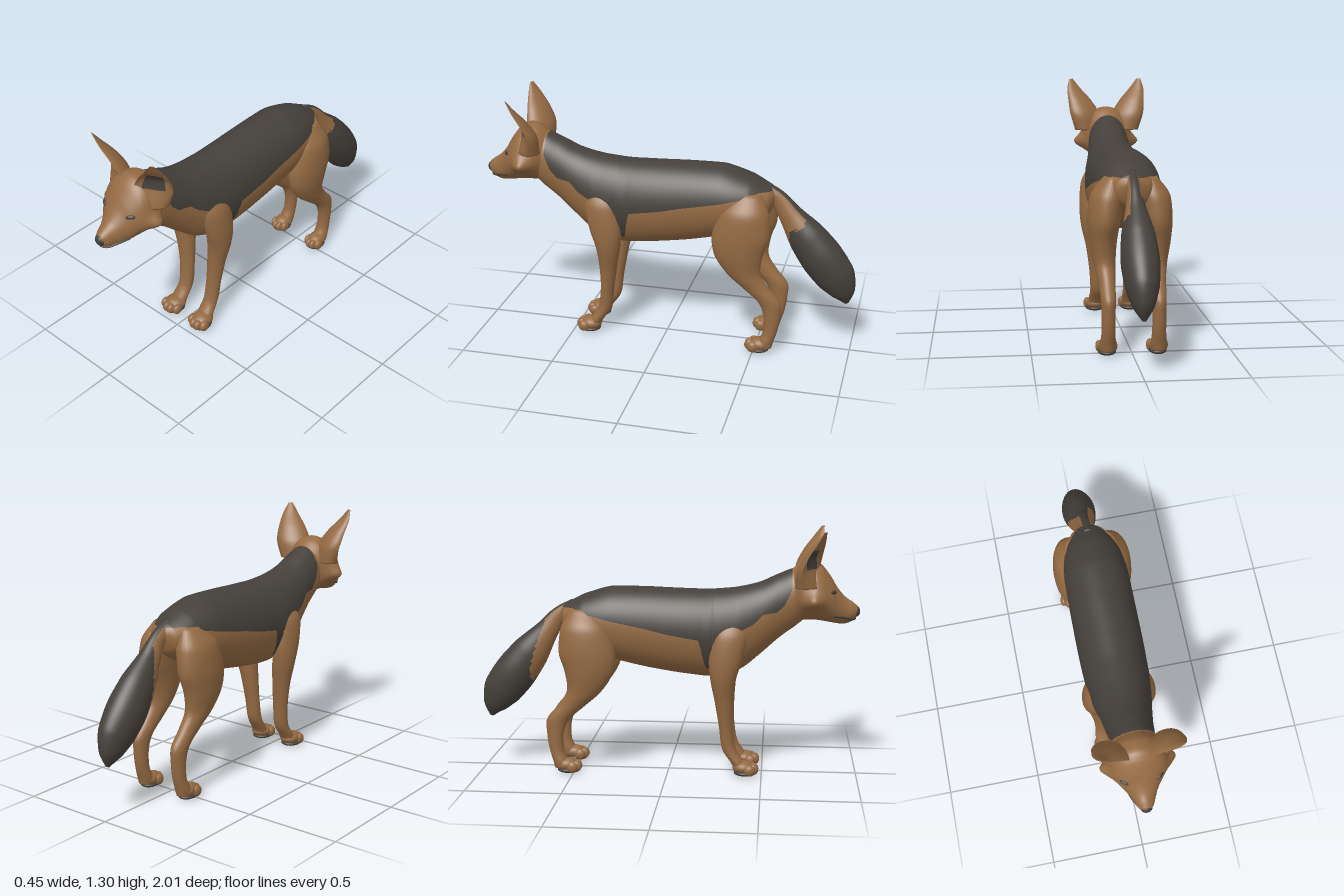
import * as THREE from 'three';

const coat = new THREE.MeshStandardMaterial({ color: 0x946a43 });
coat.name = 'tan coat';
const dark = new THREE.MeshStandardMaterial({ color: 0x45403b });
dark.name = 'dark coat';

const { sin, cos, PI, exp } = Math;
const FORWARD = new THREE.Vector3(0, 0, 1), DOWN = new THREE.Vector3(0, -1, 0);

// Smooth skin through stations [x, y, z, half width, half depth].
// normal: fixed section normal (default: along the path); yaw turns the sections;
// angle(k, p, b): ring angle; shape(t, u): section; bend(p): deform; paint(p, k, u): true = dark.
function loft(name, stations, o = {}) {
  const { steps = 48, ring = 32, normal, yaw = 0, angle = k => k * 2 * PI,
    shape = t => [cos(t), sin(t)], bend, paint = () => false } = o;
  const path = new THREE.CatmullRomCurve3(stations.map(s => new THREE.Vector3(s[0], s[1], s[2])));
  const size = new THREE.CatmullRomCurve3(stations.map(s => new THREE.Vector3(s[3], s[4], 0)));
  const side = new THREE.Vector3(cos(yaw), 0, -sin(yaw));
  const pts = [], tan = [], brown = [];
  for (let i = 0; i <= steps; i++) {
    const u = i / steps, c = path.getPoint(u), r = size.getPoint(u);
    const v = (normal || path.getTangent(u)).clone().cross(side).normalize();
    for (let j = 0; j < ring; j++) {
      const [a, b] = shape(angle(j / ring, c, r.y), u);
      const p = c.clone().addScaledVector(side, a * r.x).addScaledVector(v, b * r.y);
      if (bend) bend(p);
      pts.push(p);
    }
  }
  const face = (a, b, c, k, u) => {
    const mid = pts[a].clone().add(pts[b]).add(pts[c]).divideScalar(3);
    (paint(mid, k, u) ? brown : tan).push(a, b, c);
  };
  const first = pts.push(path.getPoint(0)) - 1, last = pts.push(path.getPoint(1)) - 1;
  for (let j = 0; j < ring; j++) {
    const n = (j + 1) % ring, k = (j + 0.5) / ring, e = steps * ring;
    face(first, n, j, k, 0);
    face(last, e + j, e + n, k, 1);
    for (let i = 0; i < steps; i++) {
      const a = i * ring + j, b = i * ring + n, u = (i + 0.5) / steps;
      face(a, b, a + ring, k, u);
      face(b, b + ring, a + ring, k, u);
    }
  }
  const g = new THREE.BufferGeometry().setFromPoints(pts);
  g.setIndex([...tan, ...brown]);
  g.addGroup(0, tan.length, 0);
  g.addGroup(tan.length, brown.length, 1);
  g.computeVertexNormals();
  const mesh = new THREE.Mesh(g, [coat, dark]);
  mesh.name = name;
  return mesh;
}

// Station from a vertical slice: z, bottom, top, half width
const slice = ([z, lo, hi, w]) => [0, (lo + hi) / 2, z, w, (hi - lo) / 2];

function ball(name, mat, pos, scale) {
  const m = new THREE.Mesh(new THREE.SphereGeometry(1, 20, 14), mat);
  m.name = name;
  m.position.set(...pos);
  m.scale.set(...scale);
  return m;
}

// Lower edge of the dark saddle: z, y
const saddle = [[-0.6, 0.88], [-0.5, 0.885], [-0.43, 0.86], [-0.3, 0.83], [-0.1, 0.79], [0, 0.765],
  [0.17, 0.735], [0.19, 0.64], [0.205, 0.575], [0.235, 0.59], [0.25, 0.73], [0.35, 0.77],
  [0.45, 0.82], [0.5, 0.87], [0.57, 0.88], [0.61, 0.92], [0.66, 1.03]];
function saddleEdge(z) {
  let i = 1;
  while (i < saddle.length - 1 && saddle[i][0] < z) i++;
  const [z0, y0] = saddle[i - 1], [z1, y1] = saddle[i];
  return THREE.MathUtils.mapLinear(THREE.MathUtils.clamp(z, z0, z1), z0, z1, y0, y1);
}

function paw(name, x, z, w) {
  const g = new THREE.Group();
  g.name = name;
  g.add(ball('foot', coat, [x, 0.047, z - 0.005], [w * 0.9, 0.036, 0.058]));
  for (let i = 0; i < 4; i++) {
    const t = (i - 1.5) / 1.5, mid = Math.abs(t) < 0.5;
    g.add(ball('toe', coat, [x + t * w * 0.72, 0.038, z + (mid ? 0.045 : 0.028)], [w * 0.34, 0.03, 0.03]));
  }
  g.add(ball('pad', dark, [x, 0.017, z + 0.005], [w * 0.88, 0.017, 0.06]));
  return g;
}

export function createModel() {
  const model = new THREE.Group();
  model.name = 'wild dog';

  // Torso and neck, with the rings split along the saddle edge
  model.add(loft('body', [
    [-0.58, 0.82, 0.87, 0.025], [-0.55, 0.75, 0.9, 0.085], [-0.45, 0.68, 0.95, 0.145],
    [-0.3, 0.605, 0.993, 0.17], [-0.1, 0.56, 0.992, 0.172], [0.1, 0.53, 0.985, 0.172],
    [0.25, 0.52, 0.985, 0.168], [0.38, 0.56, 1.0, 0.155], [0.48, 0.64, 1.025, 0.135],
    [0.58, 0.73, 1.07, 0.118], [0.66, 0.79, 1.1, 0.11], [0.72, 0.84, 1.08, 0.085]].map(slice), {
    steps: 160, ring: 64, normal: FORWARD,
    angle: (k, p, b) => {
      const e = Math.asin(THREE.MathUtils.clamp((saddleEdge(p.z) - p.y) / b, -0.95, 0.95));
      return k < 0.5 ? e + 2 * k * (PI - 2 * e) : PI - e + (2 * k - 1) * (PI + 2 * e);
    },
    paint: (p, k) => k < 0.5 && p.z < 0.645,
  }));

  // Bushy tail, tan only at the sides of its root
  model.add(loft('tail', [
    [0, 0.89, -0.5, 0.035, 0.035], [0, 0.83, -0.59, 0.035, 0.045], [0, 0.74, -0.66, 0.052, 0.065],
    [0, 0.63, -0.745, 0.082, 0.1], [0, 0.52, -0.83, 0.092, 0.113], [0, 0.42, -0.905, 0.08, 0.105],
    [0, 0.335, -0.95, 0.05, 0.065], [0, 0.275, -0.97, 0.008, 0.01]], {
    steps: 64, ring: 40,
    paint: (p, k) => p.z < -0.7 + 0.04 * sin(k * 4 * PI) || (k > 0.65 && k < 0.85),
  }));

  // Head, widened into pointed cheeks
  model.add(loft('head', [
    [0.63, 0.88, 1.08, 0.08], [0.7, 0.83, 1.135, 0.13], [0.76, 0.83, 1.14, 0.142],
    [0.8, 0.825, 1.115, 0.138], [0.85, 0.817, 1.05, 0.11], [0.88, 0.812, 1.0, 0.085],
    [0.92, 0.81, 0.953, 0.06], [0.96, 0.825, 0.925, 0.043], [0.985, 0.85, 0.905, 0.026]].map(slice), {
    steps: 64, ring: 64, normal: FORWARD,
    bend: p => { p.x *= 1 + 0.4 * exp(-(((p.y - 0.935) / 0.042) ** 2) - ((p.z - 0.755) / 0.05) ** 2); },
  }));
  model.add(ball('nose', dark, [0, 0.875, 0.975], [0.03, 0.03, 0.025]));
  const lips = [[-0.078, 0.858, 0.86], [-0.054, 0.848, 0.92], [-0.026, 0.836, 0.96], [0, 0.838, 0.975],
    [0.026, 0.836, 0.96], [0.054, 0.848, 0.92], [0.078, 0.858, 0.86]].map(p => new THREE.Vector3(...p));
  const mouth = new THREE.Mesh(new THREE.TubeGeometry(new THREE.CatmullRomCurve3(lips), 32, 0.006, 8), dark);
  mouth.name = 'mouth';
  model.add(mouth);

  for (const [s, label] of [[1, 'left'], [-1, 'right']]) {
    const eye = ball(label + 'Eye', dark, [s * 0.088, 0.985, 0.857], [0.024, 0.011, 0.009]);
    eye.rotation.set(0, s * 0.65, s * 0.1);
    model.add(eye);

    // Cupped ear with a dark hollow
    model.add(loft(label + 'Ear', [
      [s * 0.2, 1.302, 0.808, 0.012, 0.006], [s * 0.187, 1.25, 0.79, 0.042, 0.026],
      [s * 0.156, 1.18, 0.762, 0.075, 0.05], [s * 0.128, 1.1, 0.738, 0.095, 0.065],
      [s * 0.115, 1.01, 0.725, 0.075, 0.06]], {
      normal: DOWN, yaw: s * 0.5, ring: 48,
      shape: (t, u) => [cos(t), sin(t) * (sin(t) > 0 ? (u < 0.55 ? -0.4 : -0.4 + (u - 0.55) * 2.8) : 1)],
      paint: (p, k, u) => k < 0.5 && Math.abs(cos(k * 2 * PI)) < 0.6 && u > 0.42 && u < 0.72,
    }));

    // Legs and paws
    model.add(loft(label + 'FrontLeg', [
      [s * 0.1, 0.85, 0.34, 0.03, 0.05], [s * 0.125, 0.75, 0.325, 0.058, 0.095],
      [s * 0.138, 0.62, 0.305, 0.056, 0.085], [s * 0.127, 0.52, 0.295, 0.06, 0.066],
      [s * 0.11, 0.4, 0.3, 0.05, 0.048], [s * 0.097, 0.25, 0.312, 0.042, 0.036],
      [s * 0.093, 0.14, 0.33, 0.04, 0.037], [s * 0.096, 0.07, 0.375, 0.044, 0.036],
      [s * 0.097, 0.035, 0.39, 0.04, 0.03]], { normal: DOWN }));
    model.add(paw(label + 'FrontPaw', s * 0.1, 0.41, 0.06));
    model.add(loft(label + 'HindLeg', [
      [s * 0.09, 0.88, -0.44, 0.04, 0.07], [s * 0.115, 0.78, -0.43, 0.085, 0.132],
      [s * 0.13, 0.66, -0.42, 0.082, 0.15], [s * 0.135, 0.55, -0.41, 0.07, 0.128],
      [s * 0.13, 0.45, -0.437, 0.055, 0.092], [s * 0.126, 0.37, -0.505, 0.043, 0.073],
      [s * 0.125, 0.29, -0.58, 0.037, 0.06], [s * 0.125, 0.22, -0.595, 0.034, 0.045],
      [s * 0.125, 0.12, -0.588, 0.035, 0.037], [s * 0.127, 0.06, -0.565, 0.04, 0.042],
      [s * 0.127, 0.03, -0.56, 0.036, 0.04]], { normal: DOWN, steps: 64 }));
    model.add(paw(label + 'HindPaw', s * 0.127, -0.53, 0.052));
  }
  return model;
}
